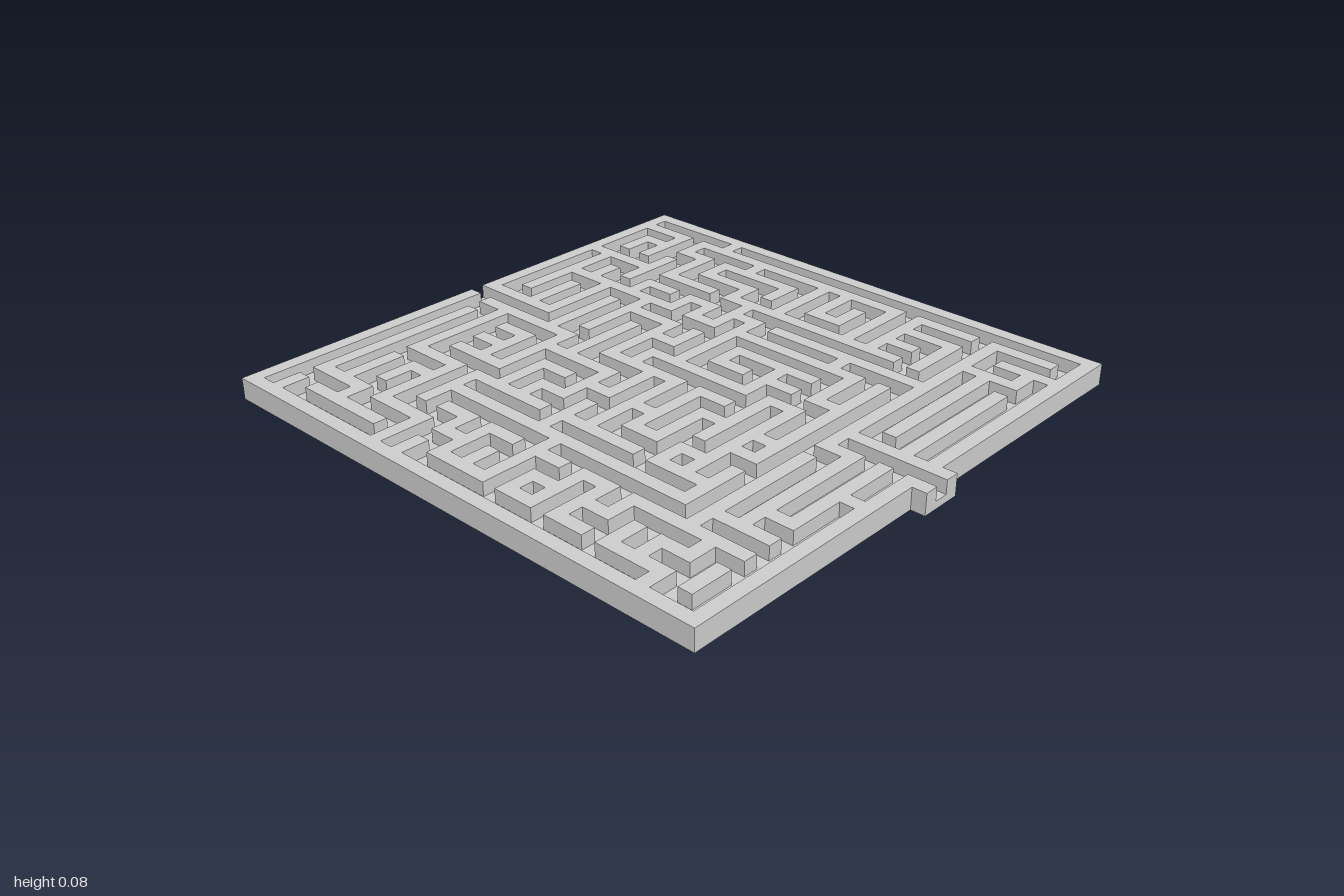
import * as THREE from 'three';
import { mergeGeometries } from 'three/addons/utils/BufferGeometryUtils.js';

const U = 0.05;      // width of a wall and of a channel
const TOP = 0.075;   // top of the walls
const FLOOR = 0.027; // bottom of the channels
const COLS = 39, ROWS = 40;

// One digit per maze cell: 1 = open to the right, 2 = open to the front, 3 = both
const CELLS = [
  '1311111132311103122',
  '3211311102112123002',
  '2031233322110301312',
  '2310020021112131020',
  '2231121103110223122',
  '1032211211122122202',
  '1302212231103030222',
  '3012221021212103022',
  '2122112102111021102',
  '2110211102312323102',
  '3122230112222222122',
  '2012221122102221102',
  '3102313011222021112',
  '2212201110310222222',
  '3122012011011231022',
  '2121111131111011112',
  '0202111102311110322',
  '3122211112111112022',
  '1111110110111111010',
];

// Height of each square of the plan: wall, channel or nothing
function buildHeights() {
  const h = Array.from({ length: ROWS }, (_, r) =>
    Array.from({ length: COLS }, (_, c) => (r < 39 || Math.abs(c - 19) < 2 ? TOP : 0)));
  CELLS.forEach((line, j) => [...line].forEach((digit, i) => {
    const r = 2 * j + 1, c = 2 * i + 1;
    h[r][c] = FLOOR;
    if (digit & 1) h[r][c + 1] = FLOOR;
    if (digit & 2) h[r + 1][c] = FLOOR;
  }));
  // Entrance at the back, exit through the front spout
  for (const r of [0, 38, 39]) h[r][19] = FLOOR;
  return h;
}

export function createModel() {
  const group = new THREE.Group();
  const heights = buildHeights();
  const at = (c, r) => heights[r]?.[c] ?? 0;
  const parts = { mazeWalls: [], channelFloor: [], baseUnderside: [] };

  // Flat square facing up or down
  const flat = (x, y, z, up) =>
    new THREE.PlaneGeometry(U, U).rotateX(up ? -Math.PI / 2 : Math.PI / 2).translate(x, y, z);

  // Upright face of a square towards the neighbour at (dx, dz)
  const side = (x, z, dx, dz, low, high) =>
    new THREE.PlaneGeometry(U, high - low)
      .rotateY(Math.atan2(dx, dz))
      .translate(x + dx * U / 2, (low + high) / 2, z + dz * U / 2);

  for (let r = 0; r < ROWS; r++) {
    for (let c = 0; c < COLS; c++) {
      const y = at(c, r);
      if (!y) continue;
      const x = (c - 19) * U, z = -1 + (r + 0.5) * U;
      parts[y === TOP ? 'mazeWalls' : 'channelFloor'].push(flat(x, y, z, true));
      parts.baseUnderside.push(flat(x, 0, z, false));
      for (const [dx, dz] of [[1, 0], [-1, 0], [0, 1], [0, -1]]) {
        const low = at(c + dx, r + dz);
        if (low < y) parts.mazeWalls.push(side(x, z, dx, dz, low, y));
      }
    }
  }

  const material = new THREE.MeshStandardMaterial({ color: 0xcccccc });
  for (const [name, faces] of Object.entries(parts)) {
    const mesh = new THREE.Mesh(mergeGeometries(faces), material);
    mesh.name = name;
    group.add(mesh);
  }
  return group;
}
